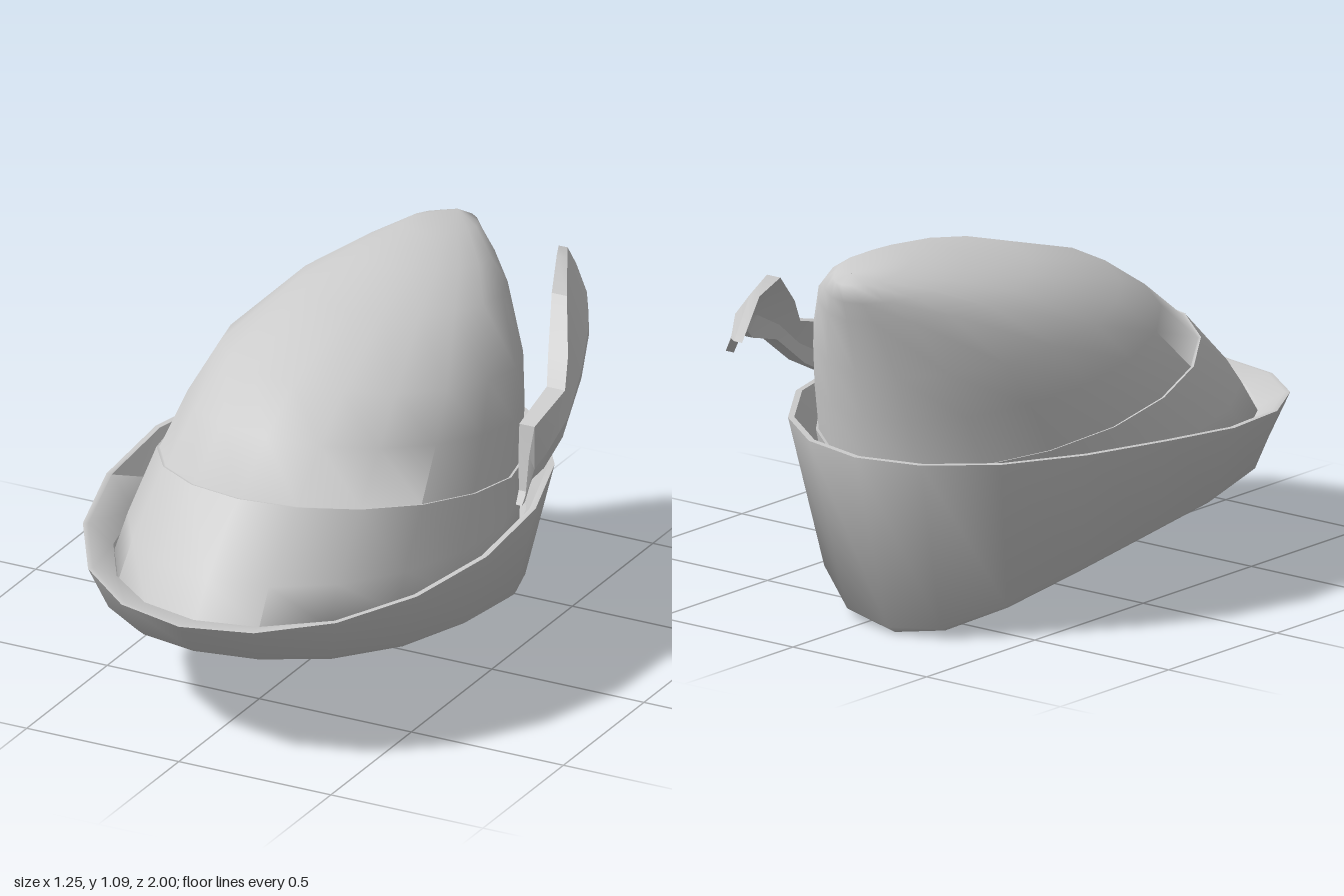
import * as THREE from 'three';
import { toCreasedNormals } from 'three/addons/utils/BufferGeometryUtils.js';

const SIDES = 18;

// Skin a list of equal-length closed rings of [x, y, z] points
function loft(rings, crease) {
  const n = rings[0].length;
  const index = [];
  for (let i = 0; i < rings.length - 1; i++) {
    for (let j = 0; j < n; j++) {
      const k = (j + 1) % n;
      const a = i * n + j, b = i * n + k, c = a + n, d = b + n;
      index.push(a, b, c, b, d, c);
    }
  }
  const geo = new THREE.BufferGeometry();
  geo.setAttribute('position', new THREE.Float32BufferAttribute(rings.flat(2), 3));
  geo.setIndex(index);
  return toCreasedNormals(geo, crease);
}

// Piecewise linear height along z; table runs from front to back
function heightAt(table, z) {
  if (z >= table[0][0]) return table[0][1];
  for (let i = 1; i < table.length; i++) {
    const [z0, y0] = table[i - 1], [z1, y1] = table[i];
    if (z >= z1) return y0 + (y1 - y0) * (z - z0) / (z1 - z0);
  }
  return table[table.length - 1][1];
}

// Egg-shaped ring: narrower and pushed sideways towards the back
function egg(front, back, halfWidth, table, lift = 0, narrow = 0, shift = 0) {
  return Array.from({ length: SIDES }, (_, i) => {
    const a = i / SIDES * Math.PI * 2;
    const t = Math.max(0, -Math.cos(a)) ** 2;
    const z = (front + back) / 2 + (front - back) / 2 * Math.cos(a);
    const x = halfWidth * Math.sin(a) * (1 - narrow * t) - shift * t;
    return [x, heightAt(table, z) + lift, z];
  });
}

// Flat tilted ring between a front point and a back point
const tilted = (zf, yf, zb, yb, hw, narrow = 0.08) =>
  egg(zf, zb, hw, [[zf, yf], [zb, yb]], 0, narrow);

function addMesh(group, name, geometry, material) {
  const mesh = new THREE.Mesh(geometry, material);
  mesh.name = name;
  group.add(mesh);
}

export function createModel() {
  const hat = new THREE.Group();
  hat.name = 'featheredHat';
  const material = new THREE.MeshStandardMaterial({ color: 0xcccccc, side: THREE.DoubleSide });

  // Height profiles of the brim's underside, rim and inner valley
  const under = [[0.93, 0.32], [0.64, 0.28], [0.3, 0.26], [0.1, 0.245], [-0.15, 0.2], [-0.4, 0.125], [-0.69, 0]];
  const rim = [[1, 0.43], [0.8, 0.445], [0.4, 0.48], [0, 0.52], [-0.2, 0.53], [-0.77, 0.53]];
  const valley = [[0.91, 0.415], [0, 0.38], [-0.66, 0.35]];
  const opening = egg(0.74, -0.49, 0.43, under, 0, 0.15, 0.1);
  const lowerEdge = egg(0.91, -0.69, 0.55, under, 0, 0.14, 0.13);
  const upperEdge = egg(1, -0.77, 0.635, rim, 0, 0.04, 0.045);

  // Upturned brim: underside, flared outer wall with a soft lower edge, inner wall
  const brim = new THREE.Group();
  brim.name = 'brim';
  hat.add(brim);
  addMesh(brim, 'brimUnderside', loft([opening, lowerEdge], 1.4), material);
  addMesh(brim, 'brimOuterWall', loft([
    lowerEdge,
    egg(0.935, -0.713, 0.572, under, 0.018, 0.12, 0.12),
    upperEdge,
  ], 1.4), material);
  addMesh(brim, 'brimInnerWall', loft([
    upperEdge,
    egg(0.985, -0.75, 0.618, rim, 0, 0.04, 0.045),
    egg(0.908, -0.665, 0.545, valley),
  ], 1), material);

  // Lining and band around the foot of the crown
  const bandTop = tilted(0.635, 0.692, -0.663, 0.468, 0.506);
  addMesh(hat, 'crownBand', loft([
    opening,
    tilted(0.9, 0.4, -0.63, 0.33, 0.54),
    tilted(0.825, 0.51, -0.647, 0.4, 0.525),
    bandTop,
  ], 1.4), material);

  // Crown, stepped in from the band and sweeping back to a point
  addMesh(hat, 'crown', loft([
    bandTop,
    tilted(0.625, 0.69, -0.653, 0.467, 0.498),
    tilted(0.46, 0.815, -0.683, 0.62, 0.472, 0.11),
    tilted(0.29, 0.92, -0.71, 0.76, 0.43, 0.14),
    tilted(-0.05, 1.02, -0.75, 0.93, 0.298, 0.16),
    tilted(-0.3, 1.057, -0.765, 0.99, 0.2, 0.18),
    tilted(-0.5, 1.087, -0.775, 1.045, 0.1, 0.18),
    tilted(-0.73, 1.07, -0.731, 1.07, 0.001),
  ], 1.3), material);

  // Feather: upper edge, midrib and lower edge at each station, with its thickness
  const stations = [
    [0.02, [0.535, 0.5, -0.14], [0.54, 0.49, -0.13], [0.535, 0.48, -0.12]],
    [0.035, [0.535, 0.62, -0.165], [0.55, 0.58, -0.17], [0.545, 0.55, -0.165]],
    [0.05, [0.545, 0.71, -0.18], [0.567, 0.62, -0.22], [0.555, 0.565, -0.22]],
    [0.06, [0.55, 0.755, -0.36], [0.57, 0.68, -0.34], [0.558, 0.62, -0.33]],
    [0.065, [0.528, 0.835, -0.42], [0.545, 0.77, -0.47], [0.53, 0.735, -0.5]],
    [0.05, [0.445, 0.95, -0.57], [0.49, 0.84, -0.62], [0.46, 0.79, -0.68]],
    [0.035, [0.33, 0.96, -0.79], [0.41, 0.88, -0.76], [0.425, 0.84, -0.74]],
    [0.03, [0.22, 0.885, -1], [0.28, 0.87, -0.94], [0.34, 0.81, -0.89]],
  ];
  const sections = stations.map(([depth, ...s]) =>
    [...s, ...s.map(([x, y, z]) => [x - depth, y, z]).reverse()]);
  const cap = ([depth, , [x, y, z]]) => Array(6).fill([x - depth / 2, y, z]);
  addMesh(hat, 'feather', loft(
    [cap(stations[0]), ...sections, cap(stations[stations.length - 1])], 0.4), material);

  return hat;
}
